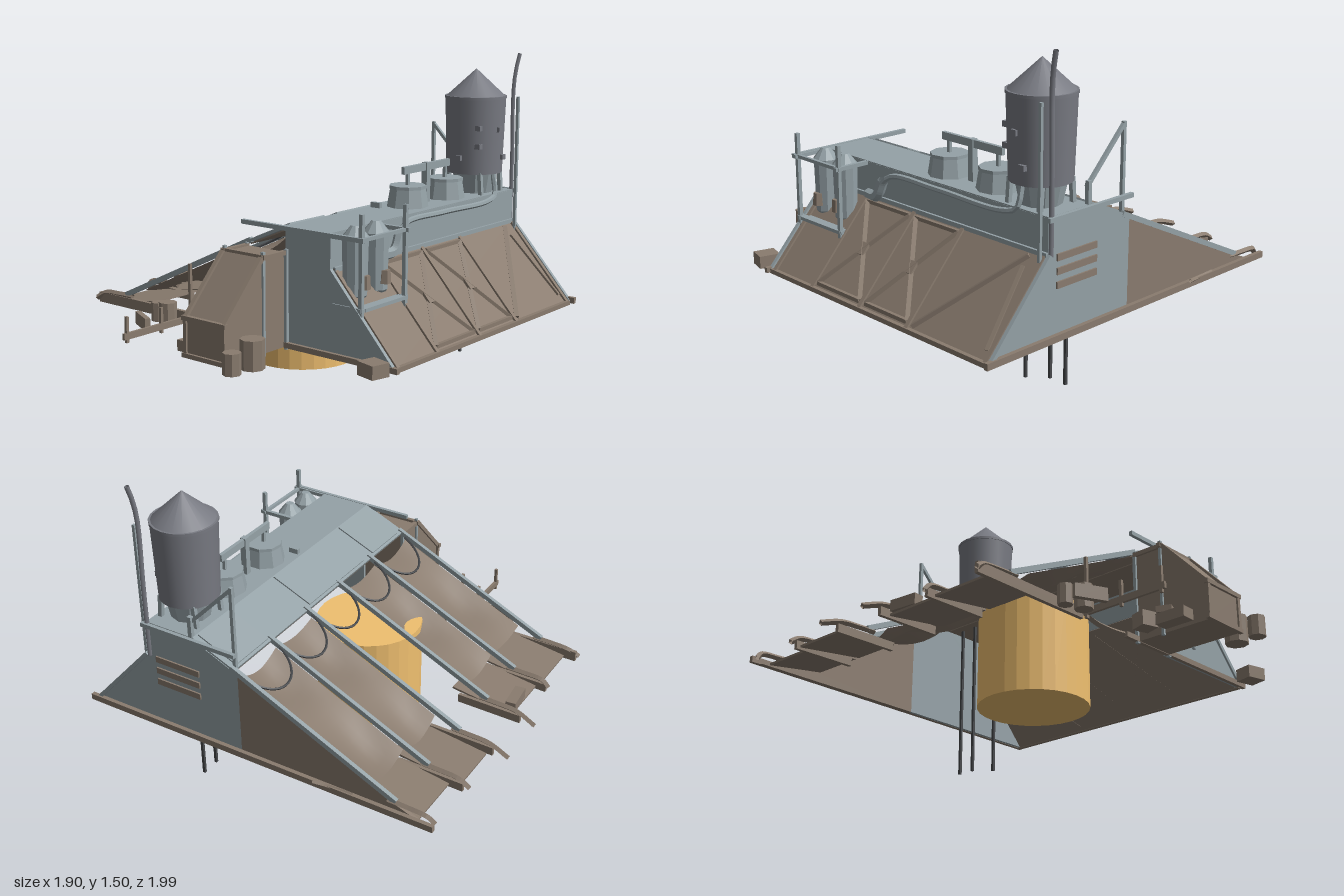
import * as THREE from 'three';

export function createModel() {
  const root = new THREE.Group();
  const mat = (color, flatShading = true) =>
    new THREE.MeshStandardMaterial({ color, flatShading, side: THREE.DoubleSide });
  const brown = mat(0x8a7c6f), steel = mat(0x95a2a7), dark = mat(0x787a82, false),
    black = mat(0x45474a), orange = mat(0xf0c070), cloth = mat(0x8a7c6f, false);
  const V = (x, y, z) => new THREE.Vector3(x, y, z);

  const add = (name, geo, m, x = 0, y = 0, z = 0) => {
    const mesh = new THREE.Mesh(geo, m);
    mesh.name = name;
    mesh.position.set(x, y, z);
    root.add(mesh);
    return mesh;
  };
  const box = (name, m, x, y, z, w, h, d) => add(name, new THREE.BoxGeometry(w, h, d), m, x, y, z);
  const cyl = (name, m, x, y0, y1, z, rBottom, rTop, n = 8) =>
    add(name, new THREE.CylinderGeometry(rTop, rBottom, y1 - y0, n), m, x, (y0 + y1) / 2, z);
  // square bar between two points
  const beam = (name, m, a, b, w = 0.02, h = w) => {
    const mesh = add(name, new THREE.BoxGeometry(w, h, a.distanceTo(b)), m);
    mesh.position.copy(a).lerp(b, 0.5);
    mesh.lookAt(b);
    return mesh;
  };
  const tube = (name, m, pts, r, n = 6, seg = 14) =>
    add(name, new THREE.TubeGeometry(new THREE.CatmullRomCurve3(pts), seg, r, n), m);
  // flat outline in x-y, extruded along z
  const plate = (name, m, pts, z, depth = 0.016) =>
    add(name, new THREE.ExtrudeGeometry(new THREE.Shape(pts.map(p => new THREE.Vector2(...p))),
      { depth, bevelEnabled: false }), m, 0, 0, z - depth / 2);
  // x-y profile line swept between two z values
  const sweep = (name, m, a, b, z0, z1, t = 0.014) => beam(name, m,
    V(a[0], a[1], (z0 + z1) / 2), V(b[0], b[1], (z0 + z1) / 2), Math.abs(z1 - z0), t);

  const slopeY = x => 0.34 + (x + 0.7) * 0.466;      // awning slope
  const side = (t, z) => V(0.92 - 0.336 * t, 0.288 + 0.37 * t, z); // right sloping wall

  // roof with its lining, parapet and sloping side wall
  sweep('roofSlope', steel, [0.11, 0.72], [0.33, 0.815], -0.95, 0.52);
  sweep('roofLining', brown, [0.115, 0.71], [0.33, 0.802], -0.93, 0.5, 0.006);
  box('roofDeck', steel, 0.455, 0.812, -0.215, 0.26, 0.016, 1.47);
  box('deckLining', brown, 0.455, 0.8, -0.215, 0.24, 0.006, 1.43);
  box('parapet', steel, 0.58, 0.735, -0.215, 0.012, 0.16, 1.47);
  sweep('sideWall', brown, [0.918, 0.28], [0.579, 0.655], -0.94, 0.5);
  beam('ridgeRail', steel, V(0.588, 0.66, -0.95), V(0.588, 0.66, 0.5), 0.02);
  beam('sideSill', brown, V(0.922, 0.285, -0.95), V(0.922, 0.285, 0.52), 0.022);
  for (const z of [0.49, 0.2, -0.14, -0.455, -0.935])
    beam('sideRib', brown, side(0, z), side(1, z), 0.02, 0.02);
  for (const [z0, z1] of [[0.18, -0.12], [-0.16, -0.44]]) {
    beam('crossBrace', brown, side(0.06, z0), side(0.94, z1), 0.02, 0.02);
    beam('crossBrace', brown, side(0.94, z0), side(0.06, z1), 0.02, 0.02);
    for (const t of [0.06, 0.94]) beam('braceRail', brown, side(t, z0), side(t, z1), 0.018);
    beam('braceHub', brown, side(0.44, (z0 + z1) / 2), side(0.56, (z0 + z1) / 2), 0.05, 0.025);
  }
  beam('diagonalBrace', brown, side(0.04, -0.48), side(0.95, -0.86), 0.022);
  beam('diagonalBrace', brown, side(0.85, -0.86), side(0.1, -0.91), 0.018);

  // gable walls
  const gable = x => [[x, 0.28], [x, Math.min(0.815, slopeY(x))], [0.33, 0.815], [0.58, 0.815], [0.58, 0.655], [0.92, 0.28]];
  plate('frontGable', steel, gable(0.335), 0.51);
  plate('backGable', steel, gable(0.09), -0.945);
  plate('backSidePanel', brown, [[0.09, 0.28], [0.09, 0.7], [-0.7, 0.335], [-0.85, 0.28]], -0.945);
  for (let i = 0; i < 3; i++) box('vent', brown, 0.42, 0.52 + i * 0.06, -0.955, 0.24, 0.03, 0.012);
  for (const z of [-0.96, 0.52])
    beam('gableTrim', steel, V(0.585, 0.66, z), V(0.925, 0.285, z), 0.018);
  beam('backSill', brown, V(-0.89, 0.3, -0.968), V(0.95, 0.295, -0.968), 0.02, 0.03);
  beam('frontSill', brown, V(0.03, 0.29, 0.525), V(0.95, 0.29, 0.525), 0.02, 0.025);
  for (const [z, end] of [[-0.965, 0.6], [0.525, 0.77]])
    beam('ridgeBar', steel, V(0.09, 0.812, z), V(end, 0.812, z), 0.018, 0.02);
  for (const x of [0.115, 0.345])
    beam('cornerPost', steel, V(x, 0.27, 0.525), V(x, 0.72, 0.525), 0.016);

  // awning: ribs, ground runners and sagging cloth
  const ribs = [-0.945, -0.66, -0.37, -0.09, 0.2, 0.51];
  const tips = [-0.88, -0.9, -0.95, -0.95, -0.88, -0.9];
  ribs.forEach((z, i) => {
    beam('awningRib', steel, V(-0.7, 0.345, z), V(0.13, 0.732, z), 0.02, 0.024);
    const bend = [0.01, 0, -0.015, -0.02, 0, 0.015][i];
    tube('ribFoot', brown, [V(-0.66, 0.34, z), V(-0.75, 0.338, z), V(-0.85, 0.33, z), V(tips[i], 0.3, z + bend)], 0.014, 4);
    if (i > 0 && i < 5) beam('groundRunner', brown, V(-0.87, 0.295, z), V(-0.55, 0.3, z), 0.018, 0.04);
  });
  beam('frontRunner', brown, V(-0.89, 0.305, 0.51), V(-0.25, 0.305, 0.51), 0.02, 0.05);
  const outer = [-0.805, -0.85, 0, -0.82, -0.83];
  for (let i = 0; i < 5; i++) {
    const z0 = ribs[i] + 0.01, z1 = ribs[i + 1] - 0.01, mid = (z0 + z1) / 2;
    const hoop = [];
    for (let k = 0; k <= 12; k++) {
      const a = Math.PI * k / 12, x = 0.085 - 0.145 * Math.sin(a);
      hoop.push(V(x, slopeY(x) + 0.005 - 0.02 * Math.sin(a), mid - 0.138 * Math.cos(a)));
    }
    tube('awningHoop', black, hoop, 0.006, 5, 20);
    if (i === 2) continue;
    const geo = new THREE.PlaneGeometry(1, 1, 14, 8), p = geo.attributes.position;
    for (let k = 0; k < p.count; k++) {
      const u = p.getX(k) + 0.5, v = p.getY(k) + 0.5, x = -0.575 + 0.66 * u;
      const sag = Math.sin(Math.PI * v) * (0.035 + 0.02 * Math.sin(u * 9 + i));
      p.setXYZ(k, x, slopeY(x) - 0.012 - sag, z0 + (z1 - z0) * v);
    }
    geo.computeVertexNormals();
    add('awningCloth', geo, cloth);
    sweep('lowerPanel', brown, [outer[i], 0.29], [-0.51, 0.335], z0, z1 - (i === 1 ? 0.02 : 0), 0.01);
  }
  for (const z of [-0.8, -0.22, 0.02, 0.35])
    sweep('roofHatch', steel, [0.12, 0.732], [0.32, 0.819], z - 0.12, z + 0.12, 0.012);

  // central drum
  cyl('drum', orange, 0, 0.06, 0.52, 0, 0.26, 0.26, 28);

  // entrance porch
  const porch = new THREE.Shape([[0.52, 0.28], [0.915, 0.28], [0.915, 0.45], [0.68, 0.705], [0.52, 0.705]]
    .map(p => new THREE.Vector2(-p[0], p[1])));
  add('porch', new THREE.ExtrudeGeometry(porch, { depth: 0.22, bevelEnabled: false }), brown, 0.118, 0, 0)
    .rotation.y = Math.PI / 2;
  for (const x of [0.116, 0.34]) {
    beam('porchTrim', brown, V(x, 0.705, 0.52), V(x, 0.705, 0.685), 0.02);
    beam('porchTrim', brown, V(x, 0.705, 0.68), V(x, 0.455, 0.915), 0.02);
    beam('porchTrim', brown, V(x, 0.46, 0.915), V(x, 0.28, 0.915), 0.018);
    beam('porchPost', steel, V(x, 0.27, 0.67), V(x, 0.73, 0.67), 0.014);
  }
  for (const [y, z] of [[0.708, 0.67], [0.455, 0.917], [0.29, 0.917]])
    beam('porchBar', brown, V(0.1, y, z), V(0.355, y, z), 0.02);

  // water tower
  const tx = 0.46, tz = -0.785;
  cyl('towerBase', steel, tx, 0.81, 0.93, tz, 0.09, 0.115, 10);
  for (const dx of [-1, 1]) for (const dz of [-1, 1])
    beam('towerLeg', steel, V(tx + dx * 0.1, 0.81, tz + dz * 0.09), V(tx + dx * 0.09, 0.93, tz + dz * 0.09), 0.02);
  cyl('towerTank', dark, tx, 0.92, 1.3, tz, 0.138, 0.15, 20);
  cyl('towerRim', dark, tx, 1.287, 1.3, tz, 0.153, 0.153, 20);
  cyl('towerRoof', dark, tx, 1.3, 1.43, tz, 0.143, 0.002, 20);
  for (const [y, a] of [[1.15, 0.7], [1.06, 0.7], [1.0, 0], [1.14, 1.5], [1.0, 1.8]])
    box('towerLatch', dark, tx + 0.14 * Math.sin(a), y, tz + 0.14 * Math.cos(a), 0.03, 0.025, 0.03);
  tube('chimney', dark, [V(0.575, 0.65, -0.955), V(0.575, 1.0, -0.955), V(0.575, 1.32, -0.95), V(0.58, 1.42, -0.96), V(0.588, 1.5, -0.98)], 0.011);
  beam('mast', steel, V(0.115, 0.7, -0.93), V(0.115, 1.13, -0.93), 0.016);
  beam('mastStay', steel, V(0.115, 1.12, -0.93), V(0.34, 0.89, -0.93), 0.016);
  beam('stayPost', steel, V(0.34, 0.8, -0.94), V(0.34, 0.92, -0.94), 0.02);
  beam('towerPole', steel, V(0.615, 0.6, -0.93), V(0.615, 1.29, -0.93), 0.014);
  for (const [x, z] of [[0.385, -0.87], [0.455, -0.7], [0.385, -0.78]])
    beam('lowerPole', black, V(x, 0, z), V(x, 0.81, z), 0.013);

  // roof vats with their crossbar
  for (const z of [-0.53, -0.22]) {
    cyl('vat', steel, 0.455, 0.815, 0.91, z, 0.1, 0.084, 9);
    cyl('vatRim', steel, 0.455, 0.905, 0.92, z, 0.088, 0.088, 9);
    beam('vatRod', steel, V(0.455, 0.91, z), V(0.455, 0.99, z), 0.015);
  }
  beam('crossbar', steel, V(0.455, 0.99, -0.56), V(0.455, 0.99, -0.18), 0.018, 0.035);
  beam('crossbarPost', steel, V(0.455, 0.81, -0.37), V(0.455, 1.01, -0.37), 0.03);
  box('roofStud', steel, 0.37, 0.83, -0.09, 0.05, 0.03, 0.02);

  // side pipe
  tube('sidePipe', steel, [V(0.6, 0.67, 0.17), V(0.615, 0.68, 0.1), V(0.615, 0.75, 0.06), V(0.605, 0.79, 0), V(0.6, 0.795, -0.3), V(0.6, 0.795, -0.7), V(0.59, 0.82, -0.775), V(0.57, 0.92, -0.785)], 0.013, 6, 36);
  tube('pipeElbow', steel, [V(0.6, 0.67, 0.18), V(0.615, 0.68, 0.1), V(0.615, 0.76, 0.055)], 0.026);

  // side tanks on a railed platform
  box('tankPlatform', steel, 0.68, 0.51, 0.35, 0.16, 0.016, 0.3);
  for (const z of [0.285, 0.43]) {
    cyl('sideTank', steel, 0.65, 0.55, 0.8, z, 0.054, 0.06, 10);
    cyl('tankTop', steel, 0.65, 0.8, 0.85, z, 0.06, 0.02, 10);
    cyl('tankBottom', steel, 0.65, 0.52, 0.55, z, 0.03, 0.054, 10);
    cyl('tankValve', brown, 0.7, 0.58, 0.64, z, 0.028, 0.024, 6);
  }
  for (const z of [0.205, 0.515]) {
    beam('railPost', steel, V(0.748, 0.47, z), V(0.748, 0.92, z), 0.018);
    beam('railBar', steel, V(0.57, 0.81, z), V(0.77, 0.81, z), 0.018);
    beam('railBar', steel, V(0.6, 0.51, z), V(0.76, 0.51, z), 0.018);
  }
  for (const y of [0.51, 0.81]) beam('railLong', steel, V(0.748, y, 0.19), V(0.748, y, 0.53), 0.016);

  // yard: fence, barrels, crates and planks
  beam('fenceRail', brown, V(-0.24, 0.31, 0.52), V(-0.24, 0.31, 0.95), 0.014, 0.03);
  for (const z of [0.53, 0.72, 0.93]) beam('fencePost', brown, V(-0.24, 0.28, z), V(-0.24, z < 0.6 ? 0.57 : 0.4, z), 0.014);
  tube('yardRail', brown, [V(-0.25, 0.315, 0.515), V(-0.18, 0.29, 0.515), V(-0.05, 0.285, 0.515), V(0.1, 0.3, 0.515)], 0.014, 4);
  for (const [x, z, r, h] of [[0.43, 0.84, 0.054, 0.13], [0.42, 0.955, 0.04, 0.095], [-0.42, 0.565, 0.034, 0.09], [-0.33, 0.59, 0.042, 0.11]])
    cyl('barrel', brown, x, 0.275, 0.275 + h, z, r, r);
  for (const [x, y, z, w, h, d, a] of [[0.885, 0.31, 0.61, 0.1, 0.06, 0.09, -0.25], [0.04, 0.3, 0.785, 0.07, 0.05, 0.15, 0], [0.01, 0.31, 0.65, 0.08, 0.07, 0.08, -0.3],
    [0.03, 0.34, 0.745, 0.05, 0.03, 0.07, 0.4], [-0.4, 0.3, 0.685, 0.15, 0.06, 0.025, -0.45], [-0.8, 0.325, 0, 0.05, 0.05, 0.14, 0.1]])
    box('crate', brown, x, y, z, w, h, d).rotation.y = a;
  tube('bentStrip', brown, [V(-0.5, 0.31, -0.965), V(-0.38, 0.31, -0.97), V(-0.31, 0.32, -0.99)], 0.01, 4);
  return root;
}
